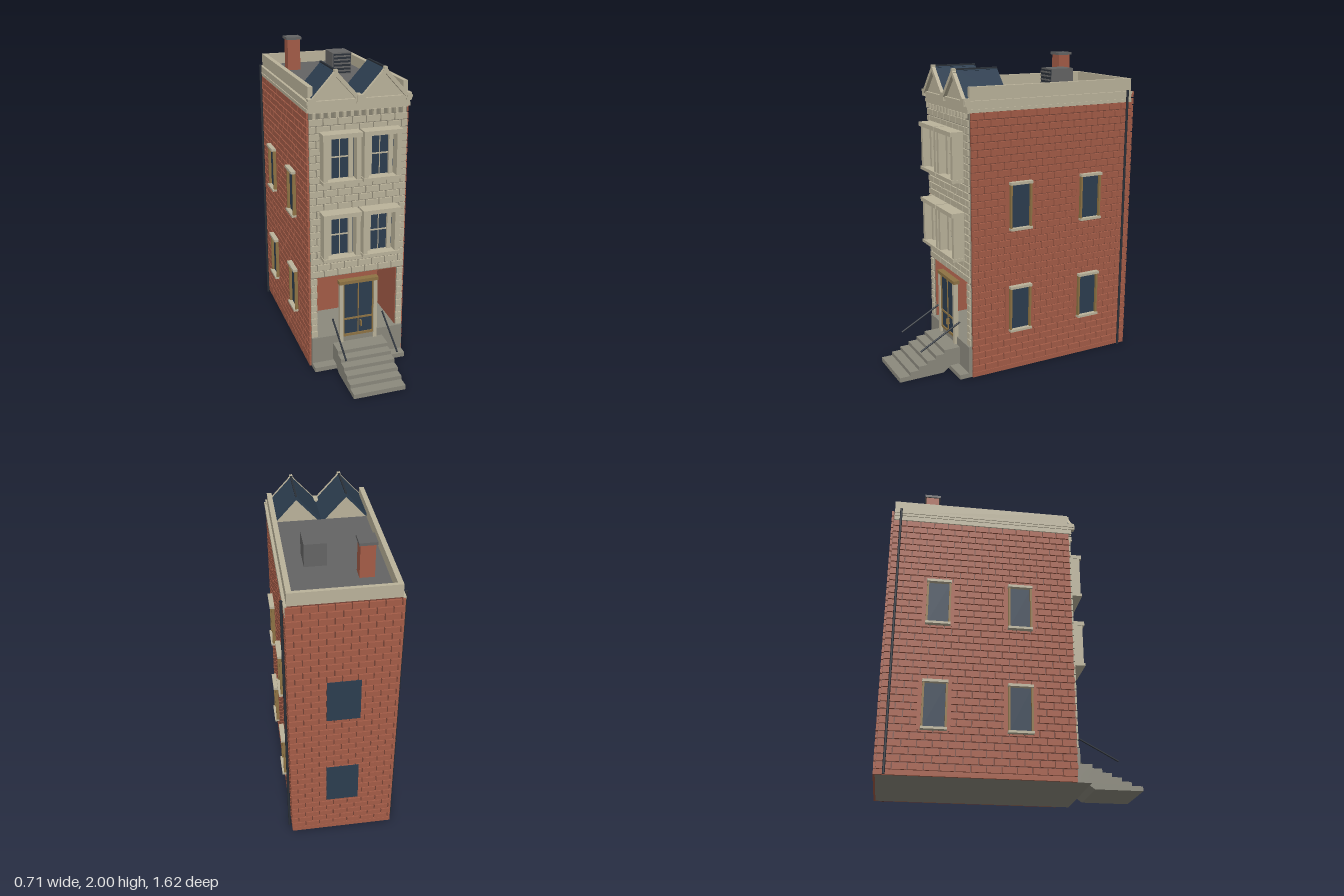
import * as THREE from 'three';
import { mergeGeometries } from 'three/addons/utils/BufferGeometryUtils.js';

const mat = (name, color) => Object.assign(new THREE.MeshStandardMaterial({ color }), { name });

export function createModel() {
  const brick = mat('red brick', 0xa45c47);
  const mortar = mat('dark mortar', 0x744336);
  const stone = mat('pale stone', 0xbbb39b);
  const joint = mat('stone joint', 0x878272);
  const grey = mat('grey foundation', 0x8b897d);
  const deckMat = mat('roof felt', 0x646464);
  const navy = mat('navy glass and slate', 0x2c3d4f);
  const wood = mat('wood', 0x8e7344);
  const iron = mat('iron', 0x2a3038);

  const model = new THREE.Group();
  model.name = 'townhouse';

  function add(name, geometry, material, parent = model) {
    const mesh = new THREE.Mesh(geometry, material);
    mesh.name = name;
    parent.add(mesh);
    return mesh;
  }
  // box given by its extents on each axis
  function box(name, material, x0, x1, y0, y1, z0, z1, parent = model) {
    const g = new THREE.BoxGeometry(x1 - x0, y1 - y0, z1 - z0);
    g.translate((x0 + x1) / 2, (y0 + y1) / 2, (z0 + z1) / 2);
    return add(name, g, material, parent);
  }
  // running-bond blocks on the plane z = 0, facing +z
  function courses(u0, u1, v0, v1, depth, length = 0.09, rise = 0.045, gap = 0.007) {
    const blocks = [];
    const rows = Math.round((v1 - v0) / rise), h = (v1 - v0) / rows;
    for (let r = 0; r < rows; r++) {
      for (let u = u0 - (r % 2) * length / 2; u < u1; u += length) {
        const a = Math.max(u, u0), b = Math.min(u + length - gap, u1);
        if (b - a < 0.008) continue;
        const g = new THREE.BoxGeometry(b - a, h - gap, depth);
        g.translate((a + b) / 2, v0 + (r + 0.5) * h, depth / 2);
        blocks.push(g);
      }
    }
    return mergeGeometries(blocks);
  }

  // structural core, with an open porch at the lower front
  box('rearCore', mortar, -0.31, 0.31, 0.004, 1.77, -0.795, 0.04);
  box('upperFrontCore', mortar, -0.31, 0.31, 0.63, 1.72, 0.04, 0.368);
  box('undersideSlab', grey, -0.31, 0.31, 0, 0.004, -0.795, 0.392);
  for (const s of [-1, 1]) {
    const [a, b] = s < 0 ? [-0.31, -0.27] : [0.27, 0.31];
    box('porchSideWall', mortar, a, b, 0.004, 0.63, 0.04, 0.368);
    box('porchLining', brick, s * 0.268 - 0.002, s * 0.268 + 0.002, 0.21, 0.63, 0.04, 0.368);
    box('pierFacing', joint, a, b, 0.21, 0.63, 0.368, 0.374);
    add('pierStones', courses(a, b, 0.21, 0.63, 0.011), stone).position.z = 0.374;
  }
  box('porchBackWall', brick, -0.27, 0.27, 0.21, 0.63, 0.04, 0.045);
  box('porchCeiling', brick, -0.27, 0.27, 0.624, 0.63, 0.045, 0.368);
  box('upperFacing', joint, -0.31, 0.31, 0.63, 1.72, 0.368, 0.374);
  add('frontStones', courses(-0.31, 0.31, 0.635, 1.66, 0.011), stone).position.z = 0.374;

  // brick on both sides and the back
  for (const s of [-1, 1]) {
    const wall = add('sideBricks', courses(-0.58, 0.587, 0.03, 1.7, 0.013), brick);
    wall.rotation.y = s * Math.PI / 2;
    wall.position.set(s * 0.31, 0, -0.213);
    box('sideBrickBase', brick, s * 0.316 - 0.006, s * 0.316 + 0.006, 0, 0.03, -0.8, 0.368);
    box('sideFrieze', stone, s * 0.317 - 0.008, s * 0.317 + 0.008, 1.7, 1.72, -0.79, 0.39);
  }
  const back = add('backBricks', courses(-0.322, 0.322, 0.03, 1.77, 0.013), brick);
  back.rotation.y = Math.PI;
  back.position.z = -0.795;
  box('backBrickBase', brick, -0.322, 0.322, 0, 0.03, -0.807, -0.795);

  // foundation and front steps
  box('porchFloor', grey, -0.27, 0.27, 0.004, 0.21, 0.045, 0.37);
  box('foundationFront', grey, -0.31, 0.31, 0.004, 0.21, 0.369, 0.392);
  box('plinth', grey, -0.31, 0.31, 0, 0.03, 0.392, 0.455);
  const profile = [[0.39, 0.04], [0.455, 0.04], [0.51, 0], [0.81, 0]];
  const edges = [0.81, 0.74, 0.68, 0.62, 0.56, 0.5];
  edges.forEach((z, i) => {
    const y = 0.03 + i * 0.025;
    profile.push([z, y], [edges[i + 1] ?? 0.39, y]);
  });
  const stairs = new THREE.ExtrudeGeometry(
    new THREE.Shape(profile.map(p => new THREE.Vector2(...p))), { depth: 0.34, bevelEnabled: false });
  stairs.rotateY(-Math.PI / 2).translate(0.17, 0, 0);
  add('steps', stairs, grey);
  for (const s of [-1, 1]) {
    const path = new THREE.LineCurve3(
      new THREE.Vector3(s * 0.17, 0.18, 0.665), new THREE.Vector3(s * 0.17, 0.33, 0.39));
    add('handrail', new THREE.TubeGeometry(path, 1, 0.006, 8), iron);
  }

  // entrance
  const door = new THREE.Group();
  door.name = 'entrance';
  model.add(door);
  box('doorGlass', navy, -0.105, 0.105, 0.2, 0.58, 0.382, 0.395, door);
  for (const s of [-1, 1]) {
    box('doorJamb', stone, s * 0.115 - 0.012, s * 0.115 + 0.012, 0.16, 0.578, 0.38, 0.41, door);
    box('doorStile', wood, s * 0.1 - 0.005, s * 0.1 + 0.005, 0.2, 0.58, 0.385, 0.402, door);
  }
  box('doorLintel', wood, -0.132, 0.132, 0.575, 0.597, 0.37, 0.412, door);
  box('doorMullion', wood, -0.003, 0.003, 0.2, 0.575, 0.39, 0.401, door);
  box('doorRail', wood, -0.1, 0.1, 0.315, 0.327, 0.39, 0.401, door);
  box('doorSill', wood, -0.1, 0.1, 0.195, 0.212, 0.385, 0.402, door);
  box('doorHandle', wood, 0.012, 0.02, 0.26, 0.3, 0.395, 0.418, door);

  // projecting front windows
  function frontWindow(x, y) {
    const w = new THREE.Group();
    w.name = 'frontWindow';
    w.position.set(x, y, 0);
    model.add(w);
    box('hood', stone, -0.122, 0.122, 0.285, 0.312, 0.37, 0.47, w);
    box('sill', stone, -0.122, 0.122, 0, 0.02, 0.37, 0.465, w);
    box('glass', navy, -0.1, 0.1, 0.02, 0.285, 0.38, 0.393, w);
    for (const s of [-1, 1]) {
      box('outerJamb', stone, s * 0.104 - 0.014, s * 0.104 + 0.014, 0.02, 0.285, 0.37, 0.457, w);
      box('innerJamb', stone, s * 0.068 - 0.013, s * 0.068 + 0.013, 0.02, 0.285, 0.385, 0.412, w);
    }
    box('mullion', stone, -0.002, 0.002, 0.02, 0.285, 0.39, 0.4, w);
    box('transom', stone, -0.056, 0.056, 0.15, 0.157, 0.39, 0.402, w);
  }
  for (const y of [0.77, 1.27]) for (const x of [-0.128, 0.128]) frontWindow(x, y);

  // side and back windows
  for (const y of [0.28, 0.96]) {
    for (const s of [-1, 1]) for (const z of [0.035, -0.48]) {
      const w = new THREE.Group();
      w.name = 'sideWindow';
      w.position.set(s * 0.325, y, z);
      if (s < 0) w.rotation.y = Math.PI;
      model.add(w);
      box('plainSurround', brick, -0.01, -0.001, -0.01, 0.3, -0.1, 0.1, w);
      box('glass', navy, -0.005, 0.002, 0, 0.29, -0.07, 0.07, w);
      box('lintel', stone, -0.01, 0.03, 0.283, 0.3, -0.078, 0.078, w);
      box('sill', stone, -0.01, 0.03, -0.01, 0.005, -0.078, 0.078, w);
      for (const t of [-1, 1])
        box('jamb', wood, -0.01, 0.02, 0.005, 0.283, t * 0.07 - 0.006, t * 0.07 + 0.006, w);
    }
    box('backWindow', navy, -0.1, 0.1, y - 0.01, y + 0.28, -0.811, -0.805);
  }

  // downpipes
  for (const s of [-1, 1]) {
    const pipe = add('downpipe', new THREE.CylinderGeometry(0.008, 0.008, 1.78, 8), iron);
    pipe.position.set(s * 0.336, 0.89, -0.748);
  }

  // frieze, dentils, cornice and parapet
  box('frieze', stone, -0.309, 0.309, 1.695, 1.72, 0.37, 0.39);
  for (let i = 0; i < 13; i++) {
    const x = -0.282 + i * 0.047;
    box('dentil', stone, x - 0.009, x + 0.009, 1.665, 1.697, 0.374, 0.4);
  }
  box('lowerCornice', stone, -0.319, 0.319, 1.72, 1.735, -0.79, 0.39);
  box('middleCornice', stone, -0.324, 0.324, 1.735, 1.752, -0.79, 0.398);
  box('upperCornice', stone, -0.329, 0.329, 1.752, 1.77, -0.79, 0.408);
  box('roofDeck', deckMat, -0.285, 0.285, 1.768, 1.778, -0.772, 0.112);
  for (const s of [-1, 1]) {
    const [a, b] = s < 0 ? [-0.312, -0.282] : [0.282, 0.312];
    box('sideParapet', stone, a, b, 1.768, 1.85, -0.79, 0.37);
  }
  box('backParapet', stone, -0.282, 0.282, 1.768, 1.85, -0.79, -0.768);

  // twin gables with slate slopes and stone rakes
  const run = 0.153, drop = 0.168, slope = Math.hypot(run, drop);
  for (const x of [-0.153, 0.153]) {
    const gable = new THREE.Group();
    gable.name = 'gable';
    gable.position.set(x, 1.943, 0);
    model.add(gable);
    const tri = new THREE.Shape([[-0.138, -0.175], [0.138, -0.175], [0, -0.017]]
      .map(p => new THREE.Vector2(...p)));
    const core = new THREE.ExtrudeGeometry(tri, { depth: 0.265, bevelEnabled: false });
    add('gableCore', core.translate(0, 0, 0.125), stone, gable);
    for (const s of [-1, 1]) {
      const place = (name, m, thick, depth, z) => {
        const g = new THREE.BoxGeometry(slope, thick, depth).translate(0, -thick / 2, 0);
        const mesh = add(name, g, m, gable);
        mesh.position.set(s * run / 2, -drop / 2, z);
        mesh.rotation.z = -s * Math.atan2(drop, run);
      };
      place('slateSlope', navy, 0.016, 0.28, 0.25);
      place('rake', stone, 0.024, 0.024, 0.401);
    }
    box('ridge', iron, -0.006, 0.006, -0.012, 0.004, 0.11, 0.39, gable);
    box('peakCap', stone, -0.01, 0.01, -0.025, 0.005, 0.388, 0.414, gable);
  }
  box('valleyBlock', stone, -0.024, 0.024, 1.74, 1.79, 0.345, 0.414);
  for (const s of [-1, 1])
    box('cornerBlock', stone, s * 0.306 - 0.015, s * 0.306 + 0.015, 1.74, 1.785, 0.365, 0.414);

  // chimney and roof hatch
  box('chimney', brick, -0.198, -0.112, 1.778, 1.985, -0.585, -0.5);
  box('chimneyCap', deckMat, -0.207, -0.103, 1.983, 2, -0.595, -0.49);
  box('roofHatch', deckMat, 0.045, 0.175, 1.778, 1.92, -0.43, -0.27);
  box('hatchGrille', iron, 0.05, 0.17, 1.785, 1.912, -0.27, -0.265);
  for (let i = 0; i < 5; i++)
    box('hatchSlat', deckMat, 0.052, 0.168, 1.796 + i * 0.024, 1.806 + i * 0.024, -0.266, -0.262);

  return model;
}
